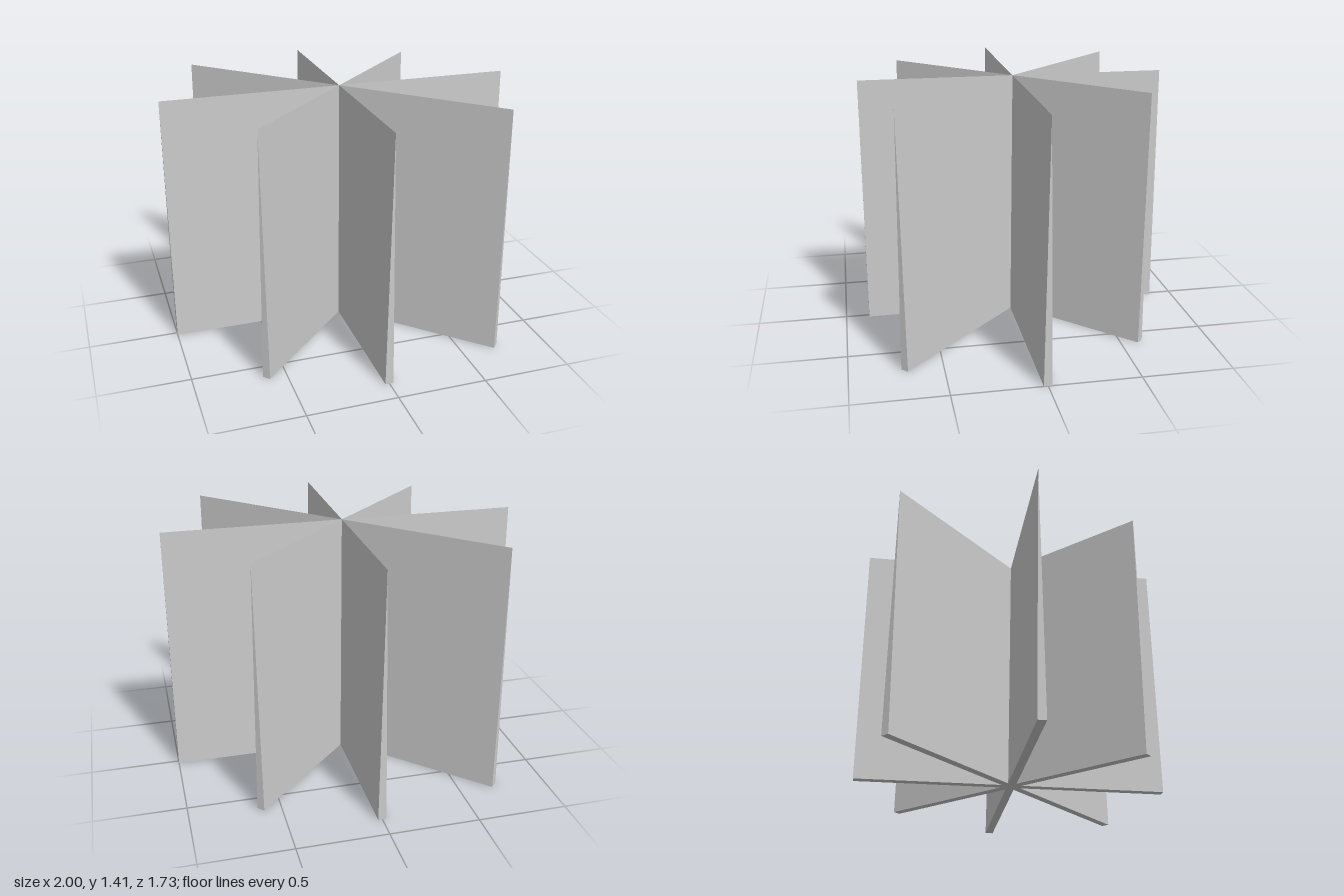
import * as THREE from 'three';

const HEIGHT = 1.41;
const HALF_THICKNESS = 0.023;

// Upright panel along x: thick at the foot, tapering to a sharp top edge
function panelGeometry(halfLength) {
  const profile = new THREE.Shape([
    new THREE.Vector2(-HALF_THICKNESS, 0),
    new THREE.Vector2(HALF_THICKNESS, 0),
    new THREE.Vector2(0, HEIGHT),
  ]);
  const geometry = new THREE.ExtrudeGeometry(profile, { depth: 2 * halfLength, bevelEnabled: false });
  geometry.translate(0, 0, -halfLength);
  geometry.rotateY(Math.PI / 2);
  return geometry;
}

export function createModel() {
  const model = new THREE.Group();
  model.name = 'crossedPanels';
  const material = new THREE.MeshStandardMaterial({ color: 0xcccccc, flatShading: true });

  // Four panels crossing on the central axis: [name, half length, turn]
  const panels = [
    ['sidewaysPanel', 1, 0],
    ['frontToBackPanel', 0.866, Math.PI / 2],
    ['longDiagonalPanel', 1, -Math.PI / 4],
    ['shortDiagonalPanel', 0.866, Math.PI / 4],
  ];
  for (const [name, halfLength, turn] of panels) {
    const panel = new THREE.Mesh(panelGeometry(halfLength), material);
    panel.name = name;
    panel.rotation.y = turn;
    model.add(panel);
  }
  return model;
}
